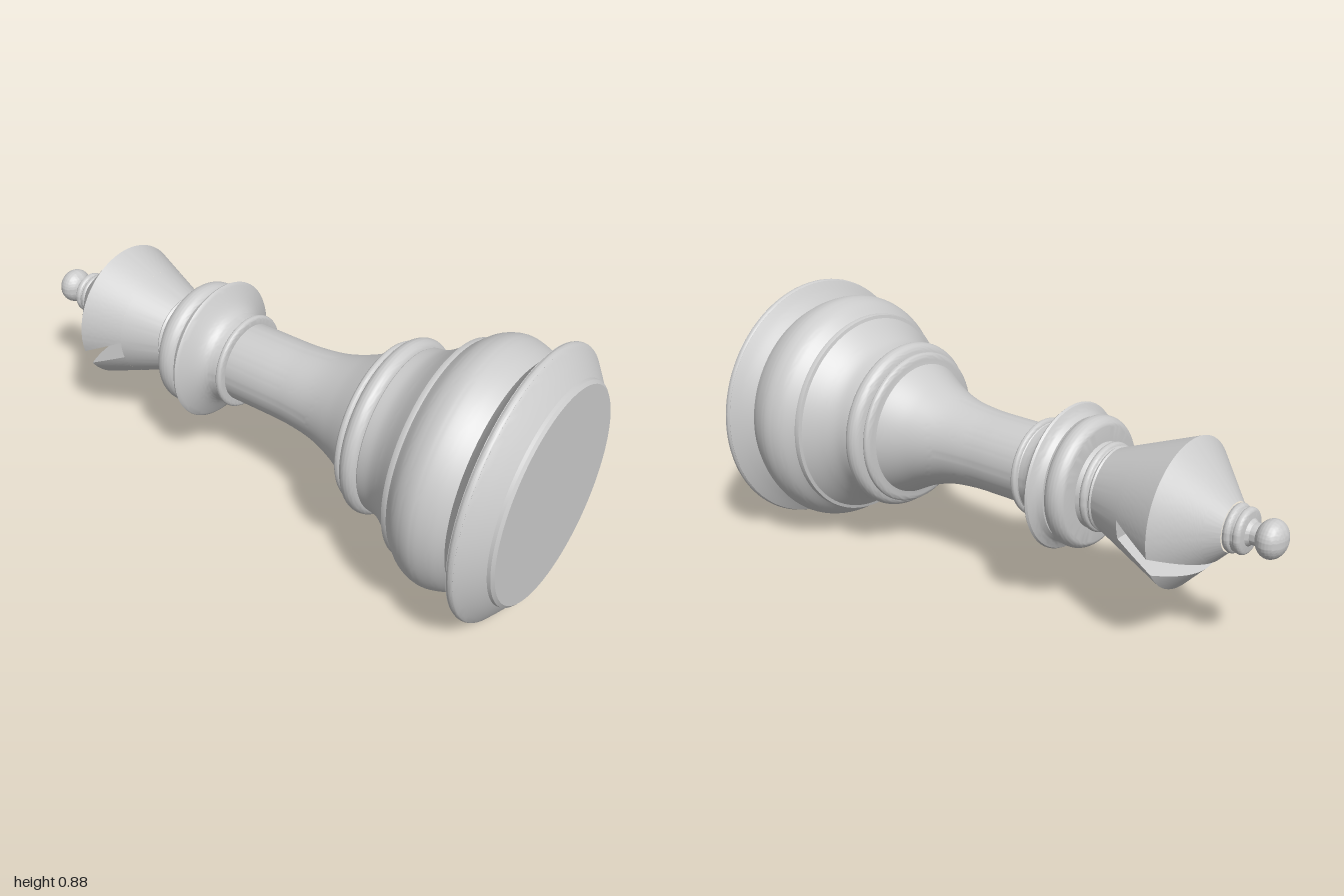
import * as THREE from 'three';
import { toCreasedNormals } from 'three/addons/utils/BufferGeometryUtils.js';

const material = new THREE.MeshStandardMaterial({ color: 0xcccccc });
const CREASE = 0.45;

function part(name, geometry) {
  const mesh = new THREE.Mesh(toCreasedNormals(geometry, CREASE), material);
  mesh.name = name;
  return mesh;
}

// turned part from [radius, height] pairs
function turned(name, profile) {
  const points = profile.map(([r, h]) => new THREE.Vector2(r, h));
  return part(name, new THREE.LatheGeometry(points, 96));
}

// smooth stretch of a profile through a few points
function smooth(points, steps = 20) {
  const curve = new THREE.SplineCurve(points.map(([r, h]) => new THREE.Vector2(r, h)));
  return curve.getPoints(steps).map((p) => [p.x, p.y]);
}

// elliptical bead between two angles (degrees, -90 bottom to 90 top)
function bead(r, h, rx, ry, from, to, steps = 16) {
  return Array.from({ length: steps + 1 }, (_, i) => {
    const a = THREE.MathUtils.degToRad(from + ((to - from) * i) / steps);
    return [r + rx * Math.cos(a), h + ry * Math.sin(a)];
  });
}

// head outline: widening cone, then tapering cone
const HEAD = { bottom: 1.42, floor: 1.546, wide: 1.682, top: 1.832 };
function headRadius(h) {
  return h < HEAD.wide
    ? 0.135 + ((h - HEAD.bottom) * 0.102) / 0.262
    : 0.237 - ((h - HEAD.wide) * 0.16) / 0.15;
}

// one side of the slotted head: circular segments lofted along the height
function headPiece(name, offset, slope, upper, end) {
  const heights = [];
  for (let i = 0; i < 12; i++) heights.push(THREE.MathUtils.lerp(HEAD.floor, HEAD.wide, i / 12));
  for (let i = 0; i <= 24; i++) {
    const t = 1 - (1 - i / 24) ** 2;
    heights.push(THREE.MathUtils.lerp(HEAD.wide, end, t));
  }
  if (upper) heights.push(HEAD.top);

  const n = 96;
  const positions = [];
  const index = [];
  heights.forEach((h, i) => {
    const r = headRadius(h);
    const cut = offset + slope * (h - HEAD.floor);
    const a = Math.asin(THREE.MathUtils.clamp(cut / r, -1, 1));
    const start = upper ? a : Math.PI - a;
    const stop = upper ? Math.PI - a : 2 * Math.PI + a;
    for (let j = 0; j <= n; j++) {
      const t = start + ((stop - start) * j) / n;
      positions.push(r * Math.cos(t), h, r * Math.sin(t));
      if (i === heights.length - 1) continue;
      // the last quad of each ring is the flat slot wall
      const p = i * (n + 1) + j;
      const q = i * (n + 1) + ((j + 1) % (n + 1));
      index.push(p, p + n + 1, q, q, p + n + 1, q + n + 1);
    }
  });
  const geometry = new THREE.BufferGeometry();
  geometry.setAttribute('position', new THREE.Float32BufferAttribute(positions, 3));
  geometry.setIndex(index);
  return part(name, geometry);
}

export function createModel() {
  const piece = new THREE.Group();
  piece.name = 'bishop';

  // foot with its sharp-sided rim
  piece.add(turned('foot', [
    [0, 0], [0.345, 0], [0.355, 0.008], [0.357, 0.018],
    ...smooth([[0.36, 0.02], [0.395, 0.045], [0.436, 0.077]], 8),
    ...bead(0.428, 0.088, 0.012, 0.014, -50, 50, 6),
    ...smooth([[0.436, 0.1], [0.4, 0.122], [0.368, 0.145]], 8),
  ]));

  // bulging body and the hollow above it
  piece.add(turned('body', [
    ...smooth([[0.368, 0.145], [0.392, 0.19], [0.406, 0.247], [0.392, 0.302], [0.358, 0.345]], 28),
    [0.359, 0.352], [0.356, 0.363], [0.345, 0.366],
    ...smooth([[0.345, 0.366], [0.305, 0.415], [0.28, 0.46], [0.272, 0.505]], 16),
  ]));

  // double ring under the neck
  piece.add(turned('neckRing', [
    [0.272, 0.505],
    ...bead(0.262, 0.538, 0.03, 0.031, -75, 75),
    [0.262, 0.57],
    ...bead(0.243, 0.585, 0.023, 0.015, -60, 90, 10),
    [0.228, 0.603],
  ]));

  // flared stem
  piece.add(turned('stem', [
    ...smooth([[0.228, 0.603], [0.183, 0.69], [0.15, 0.79], [0.136, 0.9], [0.134, 1.0]], 32),
    [0.134, 1.13],
  ]));

  // collar: small ring, sharp flange, rounded band, thin ring
  piece.add(turned('collar', [
    [0.134, 1.125],
    ...bead(0.15, 1.136, 0.012, 0.011, -90, 90, 10),
    [0.148, 1.15],
    ...smooth([[0.148, 1.15], [0.155, 1.185], [0.18, 1.212], [0.237, 1.245]], 18),
    [0.241, 1.25], [0.237, 1.257],
    ...smooth([[0.237, 1.257], [0.215, 1.27], [0.202, 1.288]], 8),
    ...bead(0.185, 1.325, 0.03, 0.037, -80, 90, 20),
    [0.14, 1.364], [0.136, 1.376],
    ...bead(0.133, 1.391, 0.012, 0.013, -80, 80, 10),
    [0.134, 1.408], [0.139, 1.415], [0.135, 1.42],
  ]));

  // head: solid lower cone whose top is the slot floor, then both slot sides
  const head = new THREE.Group();
  head.name = 'head';
  head.add(
    turned('headBase', [
      [headRadius(HEAD.bottom), HEAD.bottom],
      [headRadius(HEAD.floor), HEAD.floor],
      [0, HEAD.floor],
    ]),
    headPiece('headCrown', 0.002, -0.478, true, 1.794),
    headPiece('headLip', -0.062, -0.475, false, 1.7536),
  );
  piece.add(head);

  // finial: small collar and ball
  piece.add(turned('finial', [
    [0, 1.83], [0.07, 1.83],
    ...bead(0.066, 1.843, 0.01, 0.012, -80, 80, 8),
    [0.068, 1.86],
    ...bead(0.06, 1.873, 0.012, 0.013, -50, 90, 10),
    [0.042, 1.888], [0.034, 1.898], [0.034, 1.908],
    ...bead(0, 1.954, 0.06, 0.046, -56, 90, 24),
  ]));

  // lay the piece down, foot towards the front
  piece.rotation.x = -Math.PI / 2;
  piece.position.set(0, 0.44, 1);

  const model = new THREE.Group();
  model.name = 'chessPiece';
  model.add(piece);
  return model;
}
